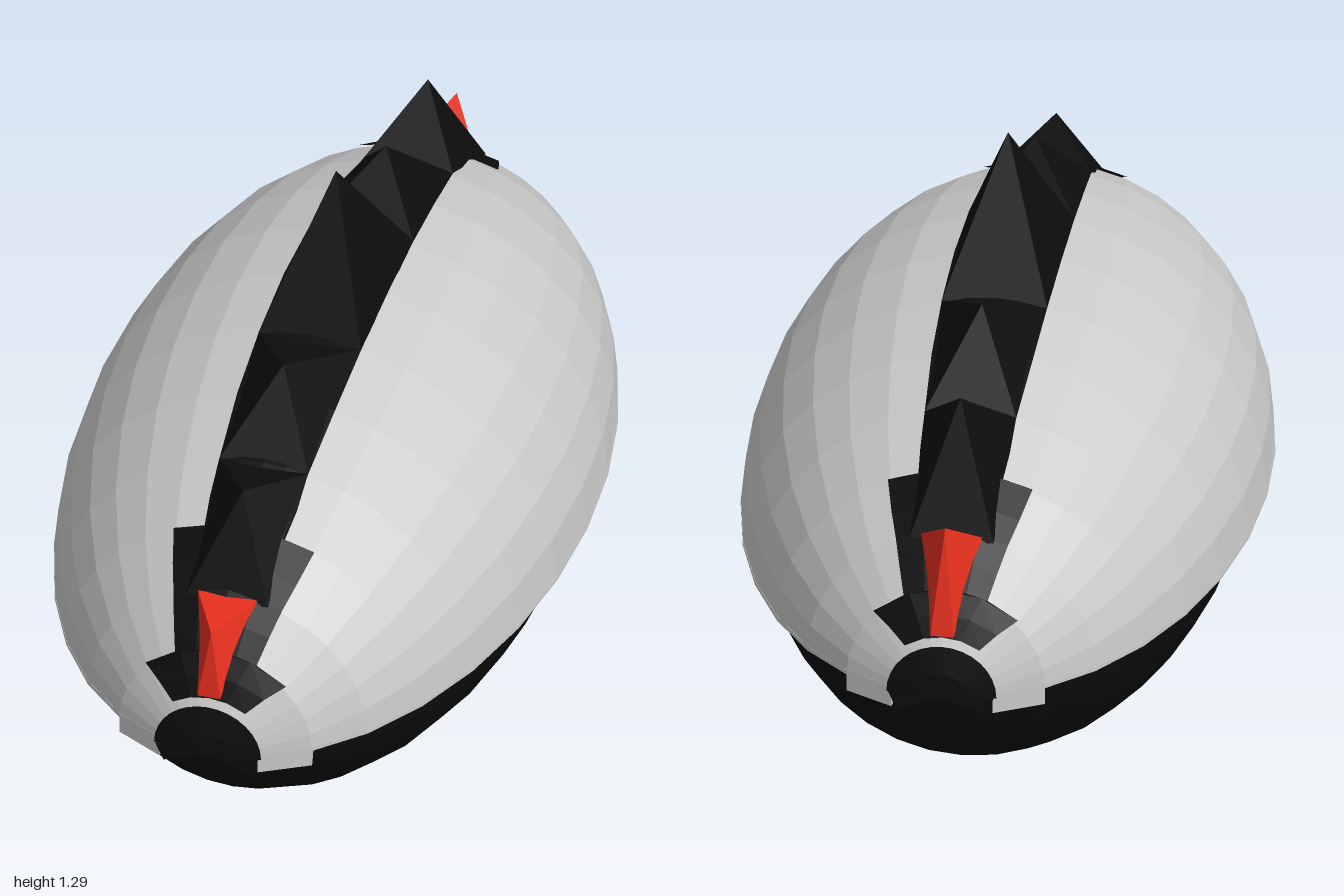
import * as THREE from 'three';

const RX = 0.555, RY = 0.54, RZ = 0.99, CY = 0.47;   // upper shell ellipsoid
const STEP = Math.PI / 16;

const material = (color) => new THREE.MeshStandardMaterial({ color, flatShading: true, side: THREE.DoubleSide });

// Sphere piece with its poles on the z axis; phi 0..PI is the lower half, PI..2PI the upper
function ellipsoid(rx, ry, rz, cy, phi, phiLength, theta = Math.PI) {
  return new THREE.SphereGeometry(1, Math.round(phiLength / STEP), Math.max(2, Math.round(theta / STEP)), phi, phiLength, 0, theta)
    .rotateX(Math.PI / 2).scale(rx, ry, rz).translate(0, cy, 0);
}

// Point of the shell outline in the xz plane, angle measured from +z
const outline = (a, k = 1) => new THREE.Vector2(RX * k * Math.sin(a), -RZ * k * Math.cos(a));

function flatExtrude(shape, depth, y) {
  return new THREE.ExtrudeGeometry(shape, { depth, bevelEnabled: false })
    .rotateX(-Math.PI / 2).translate(0, y, 0);
}

// Height of the shell surface above a point
function surfaceY(x, z, lift = 1) {
  const d = 1 - (x / (RX * lift)) ** 2 - (z / (RZ * lift)) ** 2;
  return CY + RY * lift * Math.sqrt(Math.max(0, d));
}

// Band draped over the shell through [z, halfWidth] sections
function drapedBand(sections, lift) {
  const pos = [], index = [], n = 4;
  sections.forEach(([z, w], i) => {
    for (let j = 0; j <= n; j++) {
      const x = w * (1 - 2 * j / n);
      pos.push(x, surfaceY(x, z, lift), z);
      if (i && j) {
        const a = (i - 1) * (n + 1) + j - 1, b = a + n + 1;
        index.push(a, a + 1, b, b, a + 1, b + 1);
      }
    }
  });
  const g = new THREE.BufferGeometry();
  g.setAttribute('position', new THREE.Float32BufferAttribute(pos, 3));
  g.setIndex(index);
  g.computeVertexNormals();
  return g;
}

// Four-sided spike standing on the shell between z0 and z1
function spike(z0, w0, z1, w1, peakY, peakZ) {
  const corner = (x, z) => [x, surfaceY(x, z, 1.01), z];
  const base = [corner(w0, z0), corner(-w0, z0), corner(-w1, z1), corner(w1, z1)];
  const pos = [];
  base.forEach((p, i) => pos.push(...p, ...base[(i + 1) % 4], 0, peakY, peakZ));
  const g = new THREE.BufferGeometry();
  g.setAttribute('position', new THREE.Float32BufferAttribute(pos, 3));
  g.computeVertexNormals();
  return g;
}

export function createModel() {
  const group = new THREE.Group();
  const grey = material(0xcccccc), black = material(0x0d0d0d), red = material(0xe8301f);
  const add = (name, geometry, mat) => {
    const mesh = new THREE.Mesh(geometry, mat);
    mesh.name = name;
    group.add(mesh);
    return mesh;
  };

  // Dark belly and grey upper shell
  add('belly', ellipsoid(0.52, 0.52, 0.945, 0.525, 0, Math.PI), black);
  add('shell', ellipsoid(RX, RY, RZ, CY, Math.PI, Math.PI), grey);

  // Rim closing the underside of the shell
  const ring = (k) => Array.from({ length: 32 }, (_, i) => outline(i * STEP, k));
  const rim = new THREE.Shape(ring(1));
  rim.holes.push(new THREE.Path(ring(0.93)));
  add('shellRim', flatExtrude(rim, 0.01, CY - 0.002), grey);

  // Stripe: stepped sections from the middle towards one end
  const half = [[0, 0.115], [0.193, 0.113], [0.379, 0.108], [0.55, 0.098], [0.7, 0.085], [0.7, 0.155],
    [0.77, 0.137], [0.823, 0.12], [0.872, 0.105], [0.915, 0.09], [0.915, 0.155], [0.945, 0.115], [0.968, 0.08]];
  const back = half.slice(1).reverse().map(([z, w]) => [-z, w]);
  add('stripe', drapedBand([...back, ...half], 1.008), black);

  for (const end of [1, -1]) {
    // Round cap with two small points below it
    const cap = add('endCap', ellipsoid(RX * 1.01, RY * 1.01, RZ * 1.01, CY, Math.PI, Math.PI, 0.212), black);
    cap.rotation.y = end > 0 ? 0 : Math.PI;
    const points = new THREE.Shape([[0.113, 0.472], [-0.113, 0.472], [-0.095, 0.432], [0, 0.468], [0.095, 0.432]]
      .map(([x, y]) => new THREE.Vector2(x, y)));
    const flap = new THREE.ExtrudeGeometry(points, { depth: 0.03, bevelEnabled: false });
    add('endPoints', flap.translate(0, 0, end > 0 ? 0.955 : -0.985), black);

    // Tabs hanging from the rim on both sides of the cap
    for (const side of [1, -1]) {
      const at = (n, k) => outline(end > 0 ? side * n * STEP : Math.PI - side * n * STEP, k);
      const tab = new THREE.Shape([at(1, 1), at(2, 1), at(2, 0.94), at(1, 0.94)]);
      add('rimTab', flatExtrude(tab, 0.045, 0.43), grey);
    }
  }

  // Crest of dark spikes
  const crest = [
    [0.2, 0.113, -0.2, 0.113, 1.3, 0],
    [0.55, 0.098, 0.2, 0.112, 1.075, 0.4],
    [0.83, 0.09, 0.55, 0.098, 0.965, 0.71],
    [-0.2, 0.112, -0.55, 0.098, 1.09, -0.38],
    [-0.55, 0.098, -0.83, 0.09, 1.035, -0.7],
  ];
  crest.forEach((c) => add('crestSpike', spike(...c), black));

  // Red horns at both ends
  add('frontHorn', spike(0.968, 0.025, 0.825, 0.065, 0.76, 0.95), red);
  add('backHorn', spike(-0.825, 0.065, -0.968, 0.025, 0.84, -0.92), red);
  return group;
}
